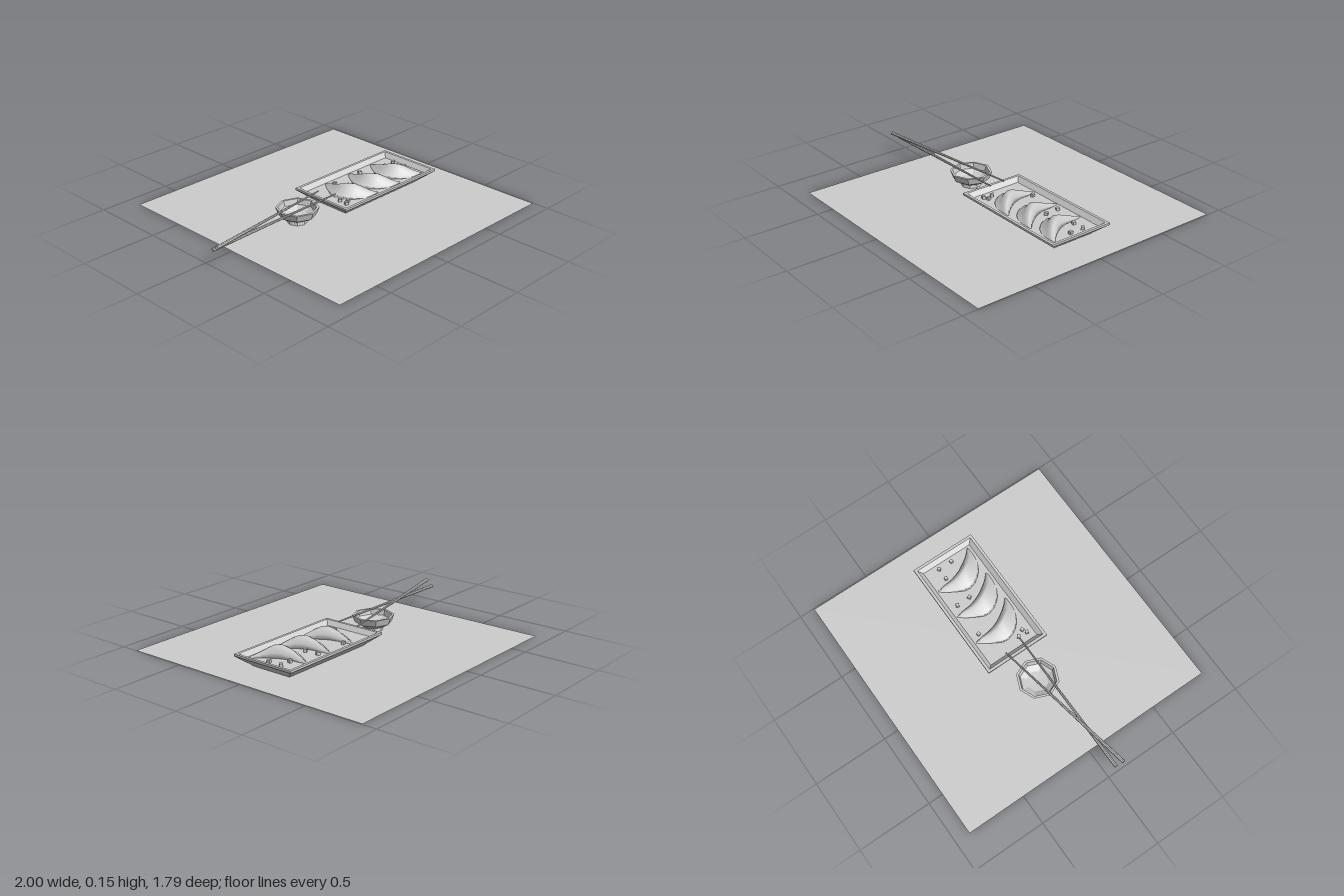
import * as THREE from 'three';

const flat = () => new THREE.MeshStandardMaterial({ color: 0xcccccc, flatShading: true });
const smooth = () => new THREE.MeshStandardMaterial({ color: 0xcccccc });

function part(name, geometry, material) {
  const mesh = new THREE.Mesh(geometry, material);
  mesh.name = name;
  return mesh;
}

// Skin a list of closed rings (each an array of [x, y, z]) and cap both ends
function loft(rings) {
  const n = rings[0].length, last = rings.length - 1, index = [];
  for (let i = 0; i < last; i++) {
    for (let j = 0; j < n; j++) {
      const a = i * n + j, b = i * n + (j + 1) % n;
      index.push(a, b, b + n, a, b + n, a + n);
    }
  }
  for (let j = 1; j < n - 1; j++) {
    index.push(0, j + 1, j, last * n, last * n + j, last * n + j + 1);
  }
  const g = new THREE.BufferGeometry();
  g.setAttribute('position', new THREE.Float32BufferAttribute(rings.flat(2), 3));
  g.setIndex(index);
  g.computeVertexNormals();
  return g;
}

// Rectangular plate: foot, flared sides, rim, inner floor
function plateGeometry() {
  const steps = [[0.345, 0.14, 0], [0.43, 0.225, 0.07], [0.43, 0.225, 0.084],
    [0.412, 0.207, 0.084], [0.385, 0.18, 0.055]];
  return loft(steps.map(([w, d, y]) => [[w, y, d], [w, y, -d], [-w, y, -d], [-w, y, d]]));
}

// Half-moon dumpling: sections along z, each with left edge, right edge and peak height
function dumplingGeometry() {
  const sections = [[-0.18, 0.175, 0.185, 0.065], [-0.13, 0.135, 0.195, 0.078],
    [-0.07, 0.1, 0.2, 0.097], [-0.03, 0.08, 0.21, 0.115], [0.01, 0.076, 0.225, 0.13],
    [0.05, 0.09, 0.25, 0.13], [0.085, 0.115, 0.275, 0.112], [0.115, 0.145, 0.3, 0.09],
    [0.145, 0.2, 0.335, 0.068], [0.152, 0.225, 0.325, 0.06]];
  const profile = [[1, 0], [0.96, 0.45], [0.82, 0.92], [0.67, 1], [0.5, 0.82],
    [0.33, 0.42], [0.12, 0.25], [0, 0]];
  const floor = 0.052;
  return loft(sections.map(([z, left, right, top]) =>
    profile.map(([u, v]) => [left + u * (right - left), floor + v * (top - floor), z])));
}

// Tapered stick from the thick end to the tip
function chopstick(from, to) {
  const a = new THREE.Vector3(...from), b = new THREE.Vector3(...to);
  const dir = b.clone().sub(a);
  const stick = part('chopstick', new THREE.CylinderGeometry(0.005, 0.012, dir.length(), 8), flat());
  stick.position.copy(a).add(b).multiplyScalar(0.5);
  stick.quaternion.setFromUnitVectors(new THREE.Vector3(0, 1, 0), dir.normalize());
  return stick;
}

export function createModel() {
  const model = new THREE.Group();
  model.name = 'dumplingSet';

  // Table mat
  const matGeometry = new THREE.PlaneGeometry(1.79, 1.79).rotateX(-Math.PI / 2);
  const mat = part('tableMat', matGeometry, smooth());
  mat.material.side = THREE.DoubleSide;
  mat.position.set(0.1, 0, -0.005);
  model.add(mat);

  // Plate
  const plate = part('plate', plateGeometry(), flat());
  plate.position.set(0.39, 0.001, -0.01);
  model.add(plate);

  // Dumplings in a row
  const dumpling = dumplingGeometry();
  for (let i = 0; i < 3; i++) {
    const d = part('dumpling', dumpling, smooth());
    d.position.x = i * 0.216;
    model.add(d);
  }

  // Diced garnish scattered on the plate
  const dice = new THREE.BoxGeometry(0.021, 0.021, 0.021);
  const spots = [[0.22, -0.135], [0.46, -0.135], [0.465, -0.04], [0.66, -0.09], [0.74, -0.09],
    [0.74, 0.005], [0.06, 0.065], [0.085, 0.11], [0.055, 0.125]];
  spots.forEach(([x, z], i) => {
    const piece = part('garnish', dice, flat());
    piece.position.set(x, 0.065, z);
    piece.rotation.y = 0.3 + i * 0.9;
    model.add(piece);
  });

  // Eight-sided sauce bowl on a foot
  const profile = [[0, 0.001], [0.066, 0.001], [0.062, 0.022], [0.075, 0.028], [0.122, 0.055],
    [0.138, 0.1], [0.122, 0.1], [0.112, 0.065], [0.07, 0.04], [0, 0.036]];
  const bowl = part('sauceBowl',
    new THREE.LatheGeometry(profile.map(p => new THREE.Vector2(...p)), 8), flat());
  bowl.position.set(-0.248, 0, -0.005);
  model.add(bowl);

  // Crossed chopsticks resting on the bowl
  model.add(chopstick([-0.998, 0.138, 0.104], [0.005, 0.102, -0.073]));
  model.add(chopstick([-0.988, 0.104, 0.056], [0.033, 0.114, 0.053]));

  return model;
}
